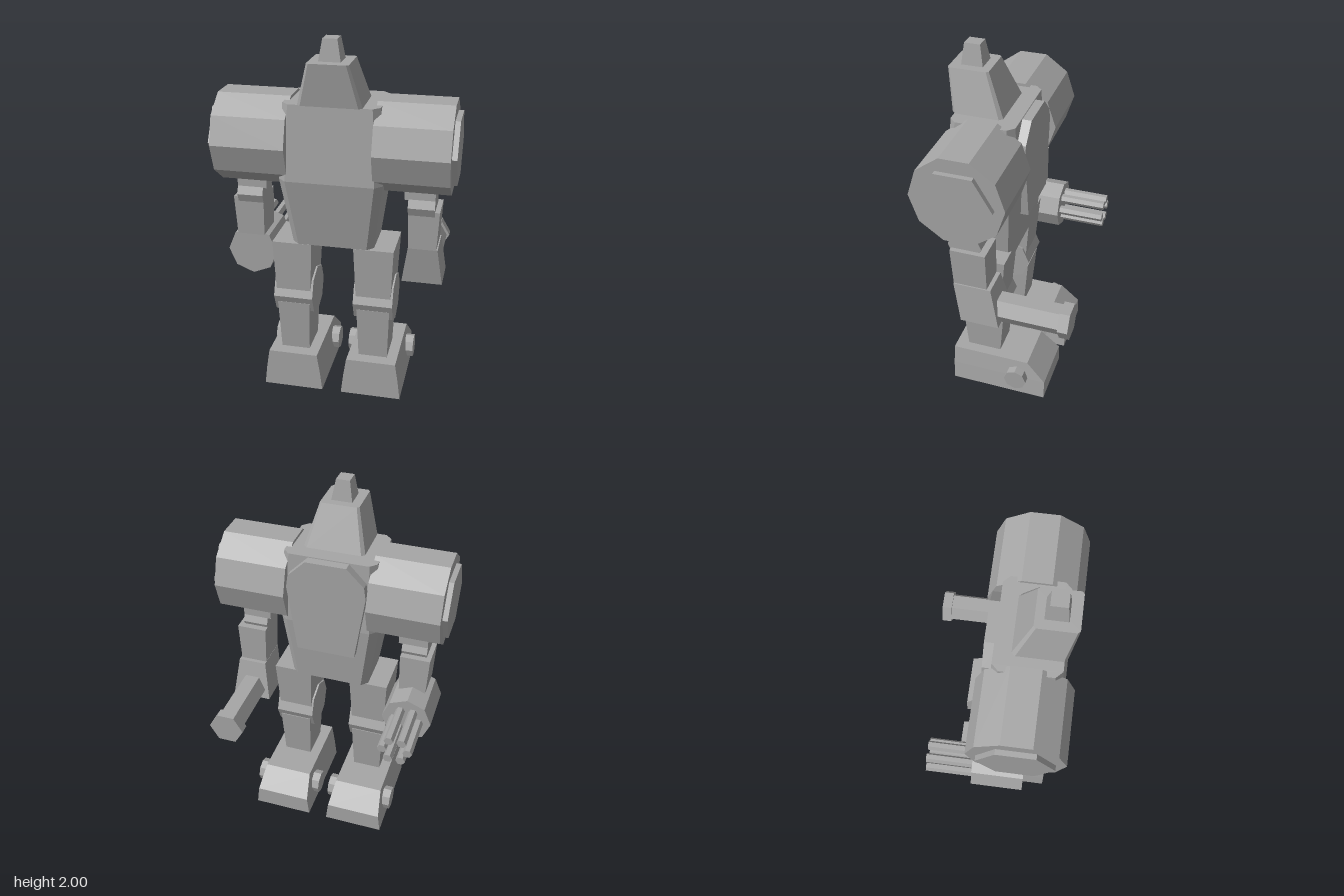
import * as THREE from 'three';

const grey = new THREE.MeshStandardMaterial({ color: 0xa6a6a6, flatShading: true });
grey.name = 'armour grey';

// Horizontal rectangle section with chamfered corners: cx, half width, back z, front z
function ring(y, cx, hx, z0, z1, c = 0) {
  const l = cx - hx, r = cx + hx;
  const p = c
    ? [[l + c, z1], [r - c, z1], [r, z1 - c], [r, z0 + c], [r - c, z0], [l + c, z0], [l, z0 + c], [l, z1 - c]]
    : [[l, z1], [r, z1], [r, z0], [l, z0]];
  return p.map(([x, z]) => new THREE.Vector3(x, y, z));
}

// Skin a stack of sections from bottom to top, closed with flat caps
function loft(rings) {
  const pts = [], n = rings[0].length;
  for (let k = 0; k < rings.length - 1; k++) {
    for (let i = 0; i < n; i++) {
      const j = (i + 1) % n;
      const a = rings[k][i], b = rings[k][j], c = rings[k + 1][j], d = rings[k + 1][i];
      pts.push(a, b, c, a, c, d);
    }
  }
  const bottom = rings[0], top = rings[rings.length - 1];
  for (let i = 1; i < n - 1; i++) {
    pts.push(top[0], top[i], top[i + 1], bottom[0], bottom[i + 1], bottom[i]);
  }
  const g = new THREE.BufferGeometry().setFromPoints(pts);
  g.computeVertexNormals();
  return g;
}

// Prism along x, with a corner pointing straight up
function prismX(r, sides, x0, x1, y, z) {
  return new THREE.CylinderGeometry(r, r, x1 - x0, sides)
    .rotateZ(Math.PI / 2).translate((x0 + x1) / 2, y, z);
}

// Prism along z, with a corner pointing sideways
function prismZ(r, sides, x, y, z0, z1) {
  return new THREE.CylinderGeometry(r, r, z1 - z0, sides, 1, false, Math.PI / 2)
    .rotateX(Math.PI / 2).translate(x, y, (z0 + z1) / 2);
}

export function createModel() {
  const model = new THREE.Group();
  const add = (name, geometry, parent = model) => {
    const mesh = new THREE.Mesh(geometry, grey);
    mesh.name = name;
    parent.add(mesh);
  };

  // Torso, head and antenna
  add('torso', loft([
    ring(0.89, 0, 0.22, 0, 0.29, 0.035),
    ring(1.27, 0, 0.272, -0.03, 0.36, 0.04),
    ring(1.67, 0, 0.25, -0.012, 0.33, 0.035),
  ]));
  add('head', loft([
    ring(1.67, 0, 0.165, 0.075, 0.345, 0.018),
    ring(1.89, 0, 0.105, 0.165, 0.38, 0.012),
  ]));
  add('antenna', loft([
    ring(1.89, 0, 0.056, 0.21, 0.325),
    ring(2, 0, 0.037, 0.228, 0.312),
  ]));

  // Back plate
  const plate = new THREE.Shape([
    [-0.16, 1.12], [0.16, 1.12], [0.215, 1.5], [0.205, 1.57],
    [0.11, 1.665], [-0.11, 1.665], [-0.205, 1.57], [-0.215, 1.5],
  ].map(([x, y]) => new THREE.Vector2(x, y)));
  add('backPlate', new THREE.ExtrudeGeometry(plate, { depth: 0.075, bevelEnabled: false })
    .translate(0, 0, -0.062));

  for (const s of [1, -1]) {
    const side = s > 0 ? 'left' : 'right';
    const prism = (r, n, a, b, y, z) => prismX(r, n, Math.min(s * a, s * b), Math.max(s * a, s * b), y, z);

    // Shoulder drum and hexagonal cap
    add(side + 'Shoulder', prism(0.248, 10, 0.222, 0.61, 1.45, 0.155));
    add(side + 'ShoulderCap', prism(0.195, 6, 0.58, 0.637, 1.445, 0.155));

    // Arm
    const arm = new THREE.Group();
    arm.name = side + 'Arm';
    model.add(arm);
    add('upperArm', loft([
      ring(1.17, s * 0.45, 0.08, 0.08, 0.23),
      ring(1.28, s * 0.45, 0.08, 0.08, 0.23),
    ]), arm);
    add('elbow', prism(0.09, 8, 0.39, 0.53, 1.13, 0.158), arm);
    add('forearm', loft([
      ring(0.89, s * 0.47, 0.075, 0.04, 0.222),
      ring(1.11, s * 0.473, 0.083, 0.04, 0.23),
    ]), arm);

    // Leg
    const leg = new THREE.Group();
    leg.name = side + 'Leg';
    model.add(leg);
    add('thigh', loft([
      ring(0.56, s * 0.222, 0.094, 0.05, 0.278),
      ring(0.89, s * 0.222, 0.108, 0.02, 0.292),
    ]), leg);
    add('knee', prism(0.137, 8, 0.113, 0.33, 0.56, 0.16), leg);
    add('shin', loft([
      ring(0.21, s * 0.222, 0.08, 0.065, 0.258),
      ring(0.52, s * 0.222, 0.091, 0.035, 0.282),
    ]), leg);
    add('foot', loft([
      ring(0, s * 0.222, 0.168, -0.228, 0.328),
      ring(0.11, s * 0.222, 0.155, -0.228, 0.328),
      ring(0.22, s * 0.222, 0.138, -0.12, 0.328),
    ]), leg);
    add('ankleBolt', prism(0.066, 8, 0.03, 0.415, 0.115, -0.06), leg);
  }

  // Left hand: slanted block with a single cannon
  add('cannonBlock', loft([
    ring(0.67, 0.47, 0.11, -0.03, 0.18),
    ring(0.89, 0.473, 0.079, 0.018, 0.222),
  ]));
  add('cannonBarrel', prismZ(0.082, 6, 0.47, 0.725, -0.35, 0.05));
  add('cannonMuzzle', prismZ(0.098, 6, 0.47, 0.725, -0.4, -0.345));

  // Right hand: octagonal housing with six thin barrels
  add('rotaryHousing', prismZ(0.138, 8, -0.473, 0.78, -0.085, 0.2));
  for (let i = 0; i < 6; i++) {
    const a = i * Math.PI / 3;
    add('rotaryBarrel', prismZ(0.026, 6, -0.473 + 0.07 * Math.cos(a),
      0.78 + 0.07 * Math.sin(a), -0.345, -0.07));
  }
  return model;
}
